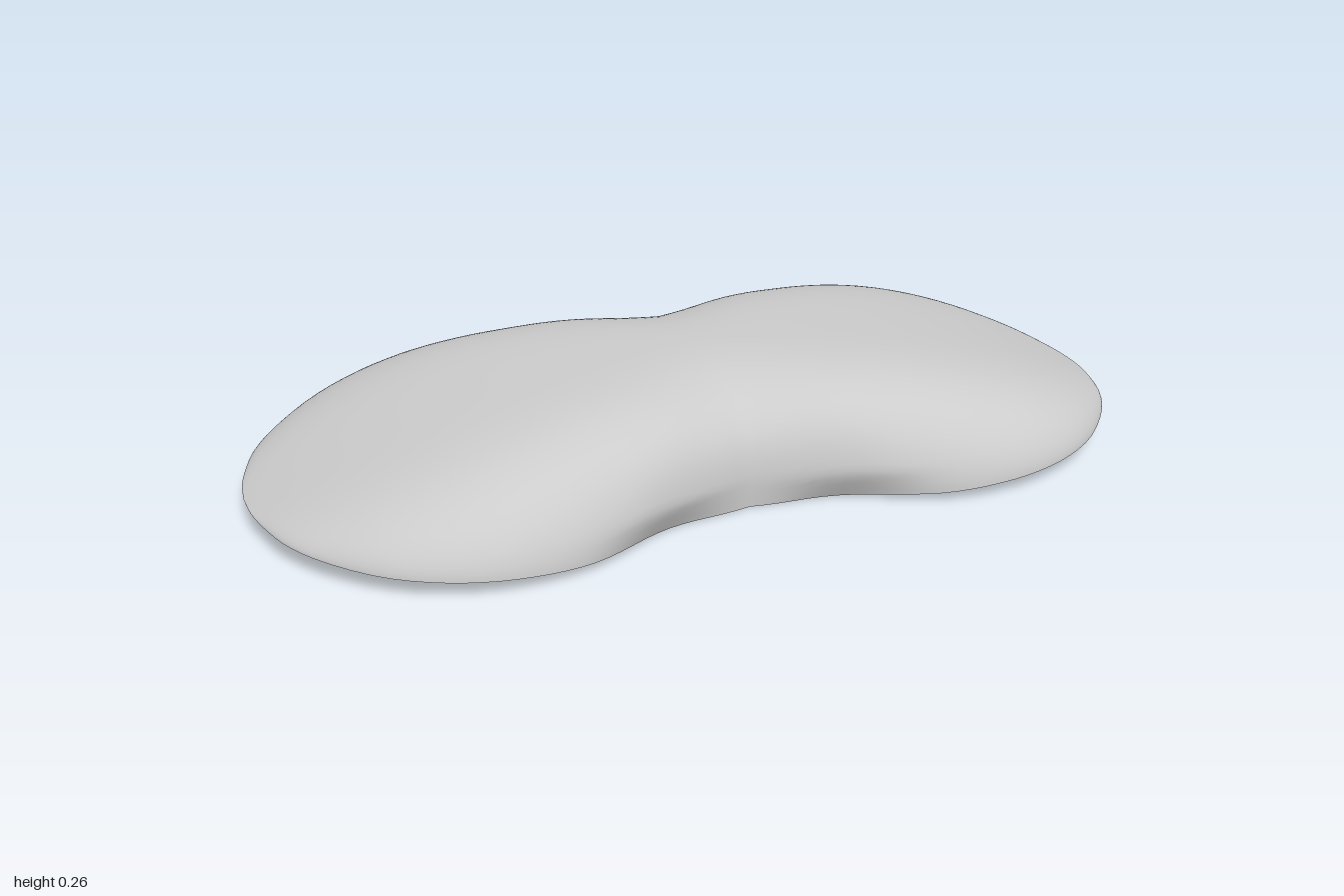
import * as THREE from 'three';

// Half outline of the shell, from the waist to the tip: x, rim height, half width
const RIM = [
  [0, 0.004, 0.33], [0.1, 0.004, 0.358], [0.2, 0.007, 0.393], [0.3, 0.017, 0.433],
  [0.4, 0.026, 0.466], [0.5, 0.034, 0.481], [0.6, 0.04, 0.477], [0.7, 0.045, 0.45],
  [0.8, 0.049, 0.394], [0.9, 0.053, 0.294], [0.95, 0.055, 0.215], [0.98, 0.056, 0.13],
  [0.995, 0.057, 0.065], [1, 0.057, 0],
];
const STEPS = 40; // sections per half
const ACROSS = 64; // segments across each section

// Height of the ridge along the middle
const ridge = (x) => 0.057 + 0.211 * (1 - Math.pow(Math.min(1, Math.abs(x)), 2.4));
// Bell curve around a centre, used to blend local shapes
const bell = (x, centre, width) => Math.exp(-(((x - centre) / width) ** 2));

function shellGeometry() {
  const half = new THREE.CatmullRomCurve3(RIM.map((p) => new THREE.Vector3(...p))).getPoints(STEPS);
  const mirrored = half.slice(1).reverse().map((p) => new THREE.Vector3(-p.x, p.y, p.z));
  const sections = [...mirrored, ...half];

  const positions = [];
  const indices = [];
  const row = ACROSS + 1;
  sections.forEach((p, i) => {
    const waist = bell(p.x, 0, 0.25);
    const flank = bell(Math.abs(p.x), 0.2, 0.13);
    for (let j = 0; j <= ACROSS; j++) {
      // flat crown that bends into a side wall, steepest on the flanks of the waist
      const s = Math.sin((j / ACROSS - 0.5) * Math.PI);
      const f = Math.pow(Math.max(0, 1 - Math.pow(Math.abs(s), 4 - 1.5 * waist)), 0.6 - 0.15 * flank);
      // the waist fades out towards the crown, and the rim tucks in on its flanks
      const bulge = 0.08 * waist * (1 - s ** 4);
      const tuck = 0.036 * flank * Math.max(0, 1 - f / 0.25);
      positions.push(p.x, p.y + (ridge(p.x) - p.y) * f, (p.z + bulge - tuck) * s);
      if (i > 0 && j > 0) {
        const d = i * row + j, c = d - 1, b = d - row, a = b - 1;
        indices.push(a, b, c, b, d, c);
      }
    }
  });
  const geometry = new THREE.BufferGeometry();
  geometry.setAttribute('position', new THREE.Float32BufferAttribute(positions, 3));
  geometry.setIndex(indices);
  geometry.computeVertexNormals();
  return geometry;
}

export function createModel() {
  const group = new THREE.Group();
  group.name = 'peanutShell';
  // Thin shell, open underneath
  const shell = new THREE.Mesh(
    shellGeometry(),
    new THREE.MeshStandardMaterial({ color: 0xcccccc, side: THREE.DoubleSide }),
  );
  shell.name = 'domedShell';
  group.add(shell);
  return group;
}
